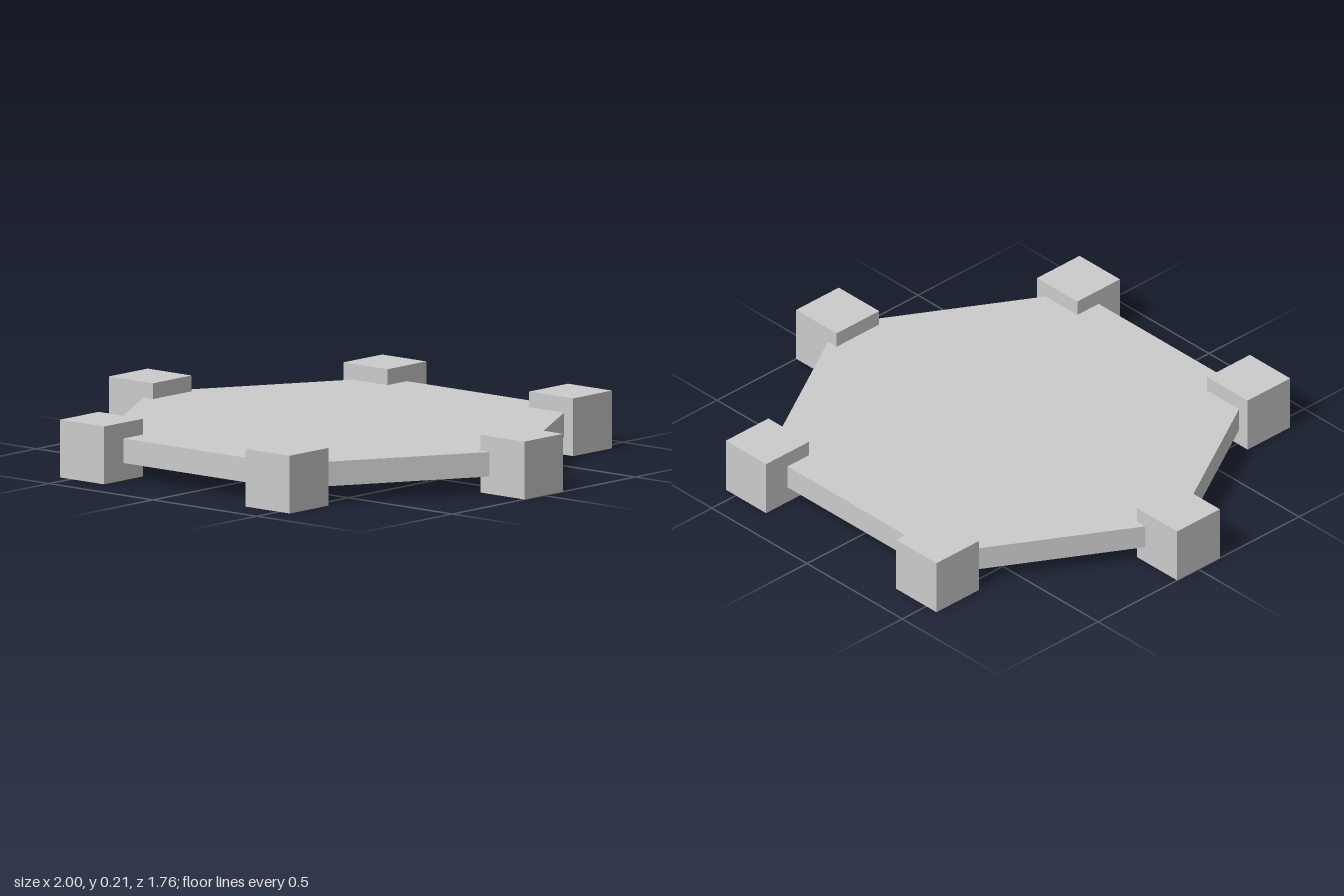
import * as THREE from 'three';

export function createModel() {
  const group = new THREE.Group();
  const material = new THREE.MeshStandardMaterial({ color: 0xcccccc, flatShading: true });
  const cube = 0.212, radius = 1 - cube / 2, thickness = 0.09;

  // Hexagonal slab with corners on the x axis
  const slab = new THREE.Mesh(
    new THREE.CylinderGeometry(radius, radius, thickness, 6, 1, false, Math.PI / 2), material);
  slab.name = 'hexagonSlab';
  slab.position.y = 0.109;
  group.add(slab);

  // One axis-aligned cube on every corner
  const cubeGeometry = new THREE.BoxGeometry(cube, cube, cube);
  for (let i = 0; i < 6; i++) {
    const angle = i * Math.PI / 3;
    const corner = new THREE.Mesh(cubeGeometry, material);
    corner.name = `cornerCube${i + 1}`;
    corner.position.set(Math.cos(angle) * radius, cube / 2, Math.sin(angle) * radius);
    group.add(corner);
  }
  return group;
}
